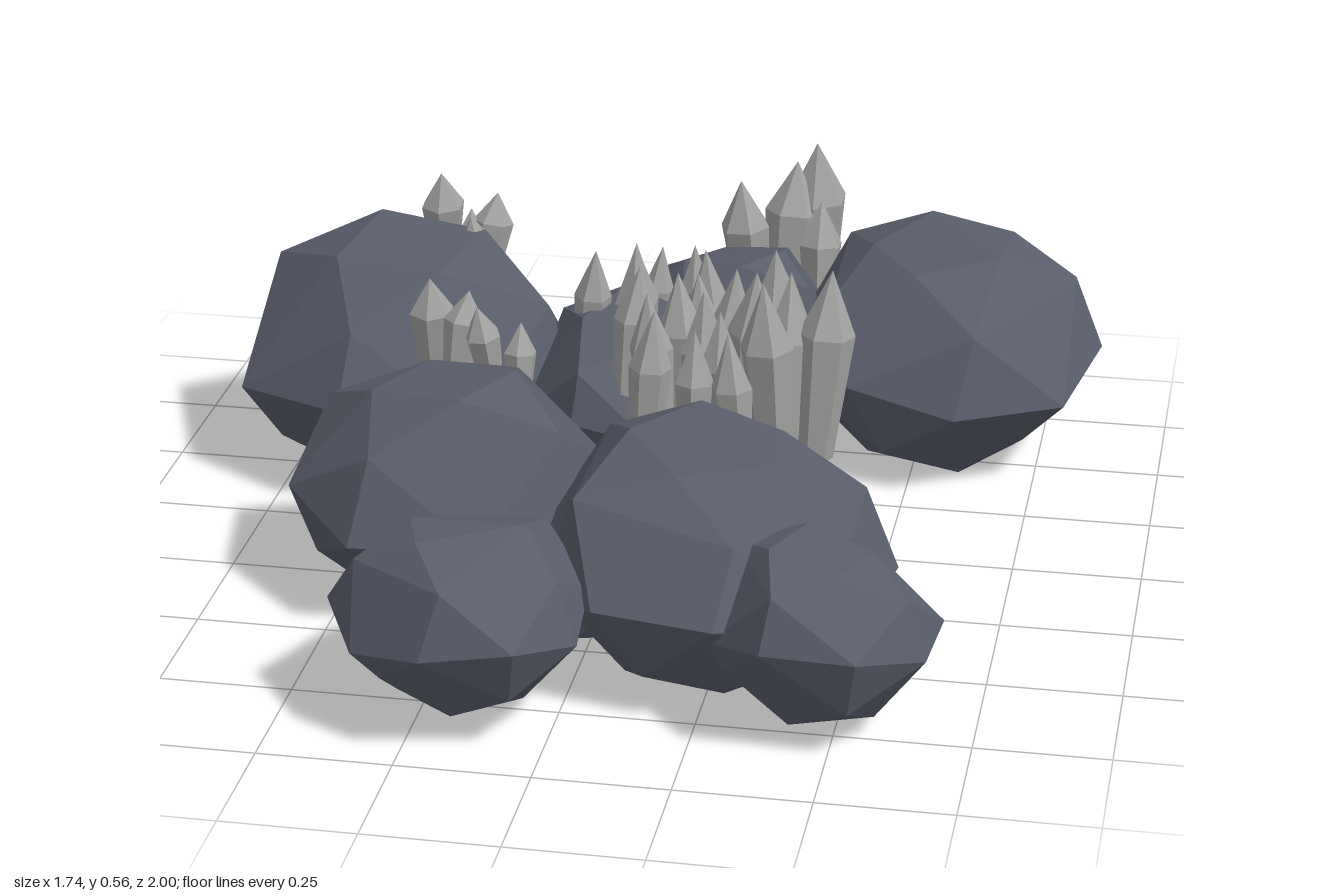
import * as THREE from 'three';
import { ConvexGeometry } from 'three/addons/geometries/ConvexGeometry.js';

const stone = new THREE.MeshStandardMaterial({ color: 0x5a5e6b, flatShading: true });
stone.name = 'slate stone';
const crystalGrey = new THREE.MeshStandardMaterial({ color: 0xa3a3a1, flatShading: true });
crystalGrey.name = 'crystal grey';

// Faceted boulder: hull of uneven rings, widest at mid height
function boulder(name, cx, cz, rx, rz, bottom, top, sides, phase) {
  const mid = 0.2;
  const points = [];
  const ring = (scale, y, wobble, count, turn) => {
    for (let i = 0; i < count; i++) {
      const a = phase + ((i + turn) / count) * Math.PI * 2;
      const s = scale * (1 + 0.04 * Math.sin(i * 2.4 + cx * 9));
      points.push(new THREE.Vector3(
        cx + rx * s * Math.cos(a),
        y + wobble * Math.sin(i * 1.9 + cz * 7),
        cz + rz * s * Math.sin(a)));
    }
  };
  const half = Math.ceil(sides / 2);
  ring(1, mid, 0.025, sides, 0);
  ring(0.82, mid + (top - mid) * 0.64, 0.02, half, 0);
  ring(0.45, top - 0.015, 0.015, half, 0.5);
  ring(0.82, mid - (mid - bottom) * 0.55, 0.02, half, 0.5);
  ring(0.52, bottom, 0, half, 0);
  const mesh = new THREE.Mesh(new ConvexGeometry(points), stone);
  mesh.name = name;
  return mesh;
}

// Six-sided crystal, narrow at the foot, from base point to tip point
function crystal(base, tip, radius, turn) {
  const axis = tip.clone().sub(base);
  const h = axis.length();
  const profile = [[0, 0], [radius * 0.62, 0], [radius, h * 0.66], [0, h]]
    .map(([x, y]) => new THREE.Vector2(x, y));
  const geometry = new THREE.LatheGeometry(profile, 6);
  geometry.rotateY(turn);
  const mesh = new THREE.Mesh(geometry, crystalGrey);
  mesh.position.copy(base);
  mesh.quaternion.setFromUnitVectors(new THREE.Vector3(0, 1, 0), axis.normalize());
  mesh.name = 'crystal';
  return mesh;
}

// Crystals at [x, z] spots with a slight lean; later ones are shorter by "drop"
function cluster(name, foot, tip, drop, radius, spots) {
  const group = new THREE.Group();
  group.name = name;
  spots.forEach(([x, z], i) => {
    const dx = 0.014 * Math.sin(i * 2.1);
    const dz = 0.014 * Math.cos(i * 3.3);
    const r = radius * (1 - 0.35 * i / spots.length);
    group.add(crystal(new THREE.Vector3(x - dx, foot + 0.015 * Math.sin(i * 1.7), z - dz),
      new THREE.Vector3(x + dx, tip - drop * i, z + dz), r, i * 0.7));
  });
  return group;
}

export function createModel() {
  const model = new THREE.Group();
  model.name = 'crystalRocks';

  model.add(
    boulder('backLeftBoulder', .54, -.63, .34, .37, 0, .44, 9, 0),
    boulder('backMiddleBoulder', .09, -.66, .23, .2, .08, .37, 8, .5),
    boulder('backRightBoulder', -.53, -.36, .36, .36, 0, .475, 8, .2),
    boulder('middleBoulder', -.05, -.27, .22, .27, .05, .39, 8, .4),
    boulder('rightBoulder', -.32, .24, .32, .29, 0, .43, 8, .4),
    boulder('centreBoulder', .23, .45, .335, .36, 0, .445, 9, 0),
    boulder('frontRightBoulder', -.17, .765, .24, .24, .05, .37, 9, .3),
    boulder('frontLeftBoulder', .47, .7, .22, .2, .04, .36, 8, .4),
    boulder('wedgedBoulder', .02, .53, .14, .11, .06, .28, 6, .2),
  );

  // Tall and shorter crystals packed between the boulders
  model.add(cluster('mainCluster', .16, .565, .007, .058, [
    [.25, -.19], [.36, -.09], [.26, -.04], [.29, -.1], [.21, -.13], [.08, -.1], [.13, -.05],
    [.16, -.18], [.03, -.05], [.17, .01], [.03, .01], [.21, .08], [.13, .07],
  ]));
  // Crystals standing on the middle boulder
  model.add(cluster('middleCluster', .2, .55, .013, .046, [
    [-.03, -.2], [-.02, -.1], [.11, -.27], [-.05, -.29], [-.14, -.29], [.1, -.22],
    [.05, -.42], [-.03, -.42],
  ]));
  // Crystals behind the back boulders
  model.add(cluster('backCluster', .16, .53, .035, .065, [
    [.23, -.92], [.18, -.87], [.09, -.85], [.25, -.83],
  ]));
  // Small crystals on the right-hand boulders
  model.add(cluster('backRightCluster', .31, .52, .015, .046, [
    [-.52, -.62], [-.4, -.54], [-.41, -.46], [-.44, -.52],
  ]));
  model.add(cluster('rightCluster', .29, .5, .015, .045, [
    [-.42, -.08], [-.35, -.04], [-.3, -.02], [-.22, .03],
  ]));
  return model;
}
